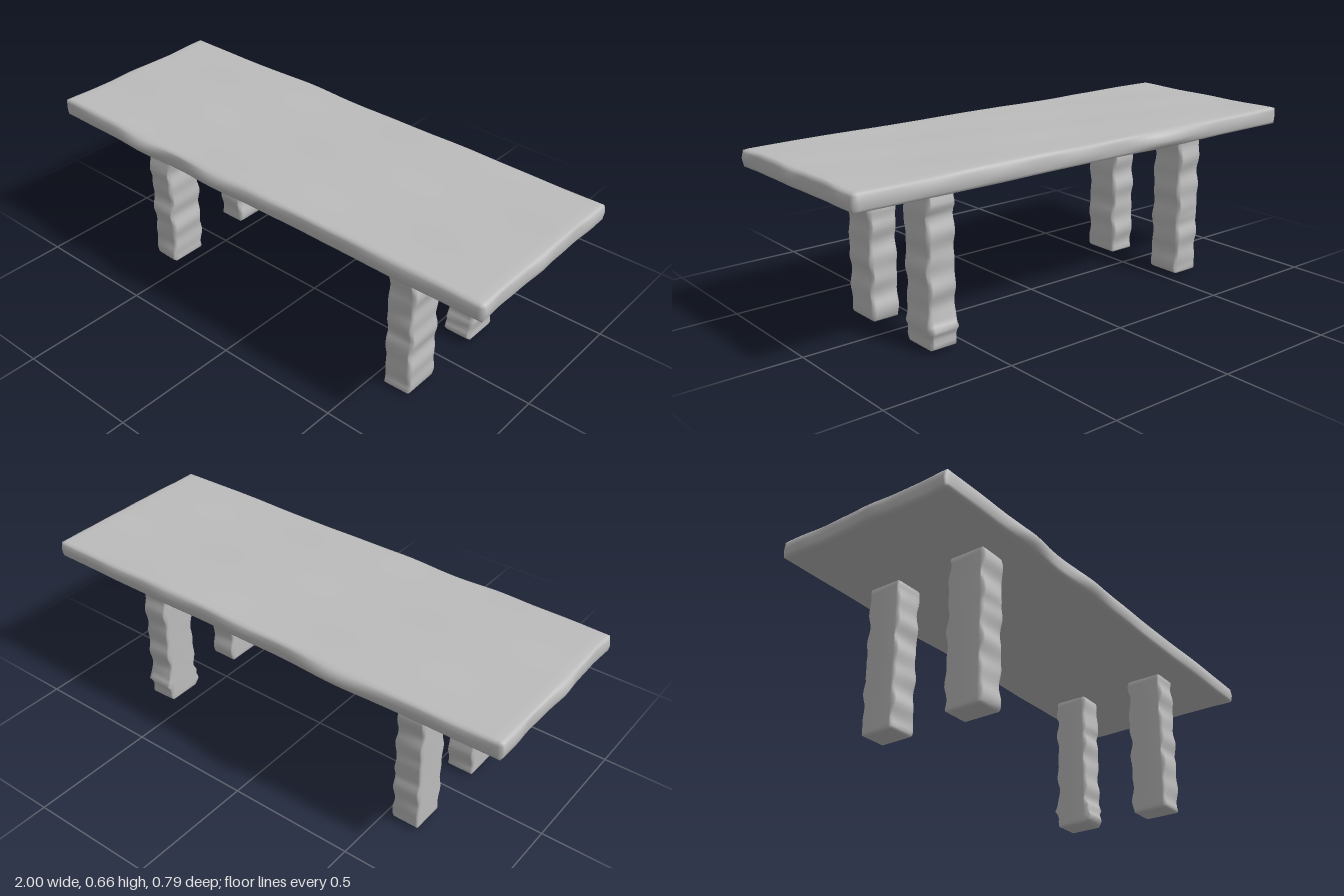
import * as THREE from 'three';
import { mergeVertices } from 'three/addons/utils/BufferGeometryUtils.js';

// Box with narrow cells along its edges, softened corners and a rule that moves each vertex
function roughBox(size, segs, bevel, rule) {
  const geo = new THREE.BoxGeometry(...size, ...segs);
  geo.deleteAttribute('uv');
  geo.deleteAttribute('normal');
  const merged = mergeVertices(geo, 1e-5);
  const pos = merged.attributes.position;
  const v = new THREE.Vector3();
  for (let i = 0; i < pos.count; i++) {
    v.fromBufferAttribute(pos, i);
    const c = v.toArray();
    // Grid index of the vertex on each axis; -1, 0 or 1 tells which outer face it lies on
    const side = c.map((n, a) => (Math.abs(n) > size[a] / 2 - 1e-4 ? Math.sign(n) : 0));
    const faces = side.filter((s) => s !== 0).length;
    for (let a = 0; a < 3; a++) {
      const half = size[a] / 2;
      if (side[a] === 0) {
        const inner = half - size[a] / segs[a];
        if (inner > 1e-6) c[a] *= (half - bevel) / inner;
      } else if (faces > 1) c[a] -= side[a] * bevel * 0.3;
    }
    rule(c, side);
    pos.setXYZ(i, ...c);
  }
  merged.computeVertexNormals();
  return merged;
}

// Smooth bump of a given height
const bump = (t, centre, width, height) => height * Math.exp(-(((t - centre) / width) ** 2));

export function createModel() {
  const model = new THREE.Group();
  const stone = new THREE.MeshStandardMaterial({ color: 0xbcbcbc });
  stone.name = 'grey stone';

  // Slab: wavy rim, swelling most at half thickness
  const slabSize = [1.97, 0.07, 0.735];
  const slab = new THREE.Mesh(roughBox(slabSize, [64, 4, 26], 0.014, (c, side) => {
    const [x, y, z] = c;
    const middle = 1 - Math.min(1, Math.abs(y) / 0.035) * 0.75;
    const wave = 0.004 + 0.003 * Math.sin(x * 9 + 1) + 0.002 * Math.sin(x * 21);
    const front = wave + bump(x, -0.54, 0.11, 0.02) + bump(x, -0.15, 0.12, 0.021) + bump(x, 0.55, 0.09, 0.006);
    const back = wave + bump(x, -0.35, 0.13, 0.03) + bump(x, 0.45, 0.12, 0.008);
    if (side[2] > 0) c[2] += front * middle;
    if (side[2] < 0) c[2] -= back * middle;
    const end = 0.004 + 0.004 * Math.sin(z * 17 + 1) + 0.002 * Math.sin(z * 41);
    if (side[0] > 0) c[0] += end * middle;
    if (side[0] < 0) c[0] -= (end + bump(z, 0.03, 0.1, 0.006)) * middle;
    // Gentle undulation of the upper and lower faces
    if (side[1] > 0) c[1] += 0.0015 * Math.sin(x * 8 + z * 5) + 0.001 * Math.sin(x * 5 - z * 19);
    if (side[1] < 0) c[1] += 0.001 * Math.sin(x * 7 + 1);
  }), stone);
  slab.name = 'tableTop';
  slab.position.set(0.005, 0.619, 0);
  model.add(slab);

  // Leg: horizontal chisel ripples on three faces, the outer -x face left plain
  function addLeg(name, x, z, bottom, depth, seed, bumps) {
    const height = 0.59 - bottom;
    const mid = bottom + height / 2;
    const geo = roughBox([0.108, height, depth], [4, 36, 4], 0.01, (c, side) => {
      const y = c[1] + mid;
      const ripple = (k) => 0.0035 + 0.0035 * Math.sin(y * 62 + seed + k * 2)
        + 0.0035 * Math.sin(y * 37 + seed * 3 + k + c[0] * 12);
      if (side[1] !== 0) return;
      if (side[2] !== 0) {
        c[2] += side[2] * ripple(side[2]);
        for (const [s, at, h] of bumps) if (s === side[2]) c[2] += s * bump(y, at, 0.016, h);
      }
      if (side[0] > 0) c[0] += ripple(3) * 0.9;
    });
    const leg = new THREE.Mesh(geo, stone);
    leg.name = name;
    leg.position.set(x, mid, z);
    model.add(leg);
  }
  addLeg('frontLeftLeg', 0.602, 0.174, 0, 0.144, 0.4, [[-1, 0.42, 0.008], [1, 0.22, 0.005]]);
  addLeg('backLeftLeg', 0.605, -0.197, 0.01, 0.134, 2.1, [[1, 0.09, 0.012], [1, 0.04, 0.014], [1, 0.44, 0.008], [-1, 0.085, 0.018], [-1, 0.52, 0.008]]);
  addLeg('frontRightLeg', -0.592, 0.174, 0.005, 0.144, 3.7, [[1, 0.41, 0.005]]);
  addLeg('backRightLeg', -0.592, -0.197, 0.01, 0.134, 5.2, [[-1, 0.24, 0.006]]);

  return model;
}
